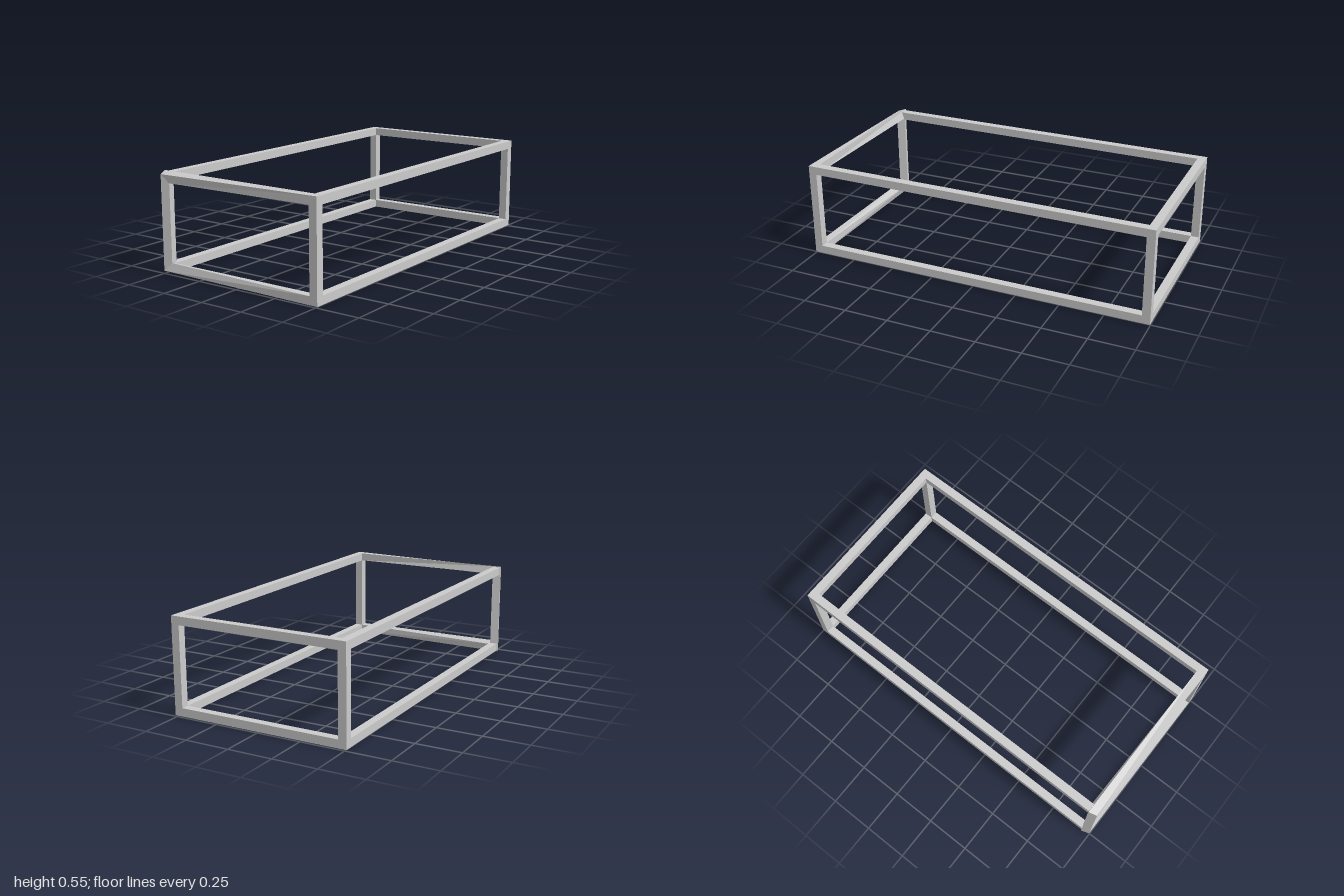
import * as THREE from 'three';

const material = new THREE.MeshStandardMaterial({ color: 0xcccccc, flatShading: true });
const HALF_W = 0.51, HALF_H = 0.268, MID_Y = 0.275, BAR = 0.046;

// Bar sections as [offset outward, z]: outer back, outer front, inner front, inner back
const straight = (z) => [[0, z - BAR], [0, z], [-BAR, z], [-BAR, z - BAR]];
const twisted = [[0.006, 0.953], [-0.008, 0.998], [-0.054, 0.984], [-0.04, 0.938]];

// Mitred rectangular ring, with its own bar section on the right (+x) and left (-x) corners
function ring(name, plusX, minusX) {
  const corners = [[1, 1, plusX], [-1, 1, minusX], [-1, -1, minusX], [1, -1, plusX]].map(
    ([sx, sy, section]) => section.map(([o, z]) => [sx * (HALF_W + o), MID_Y + sy * (HALF_H + o), z]));
  const positions = [];
  for (let i = 0; i < 4; i++) {
    for (let k = 0; k < 4; k++) {
      const a = corners[i][k], b = corners[i][(k + 1) % 4];
      const c = corners[(i + 1) % 4][(k + 1) % 4], d = corners[(i + 1) % 4][k];
      positions.push(...a, ...d, ...c, ...a, ...c, ...b);
    }
  }
  const geometry = new THREE.BufferGeometry();
  geometry.setAttribute('position', new THREE.Float32BufferAttribute(positions, 3));
  geometry.computeVertexNormals();
  const mesh = new THREE.Mesh(geometry, material);
  mesh.name = name;
  return mesh;
}

export function createModel() {
  const model = new THREE.Group();
  model.name = 'boxFrame';

  // End frames; the front one twists towards its -x post
  model.add(ring('frontFrame', straight(1), twisted));
  model.add(ring('backFrame', straight(-1 + BAR), straight(-1 + BAR)));

  // Four long rails joining the end frames
  const back = -1 + BAR, front = 0.956;
  for (const sx of [1, -1]) {
    for (const sy of [1, -1]) {
      const rail = new THREE.Mesh(new THREE.BoxGeometry(BAR, BAR, front - back), material);
      rail.name = (sy > 0 ? 'upper' : 'lower') + (sx > 0 ? 'Left' : 'Right') + 'Rail';
      rail.position.set(sx * (HALF_W - BAR / 2), MID_Y + sy * (HALF_H - BAR / 2), (front + back) / 2);
      model.add(rail);
    }
  }
  return model;
}
